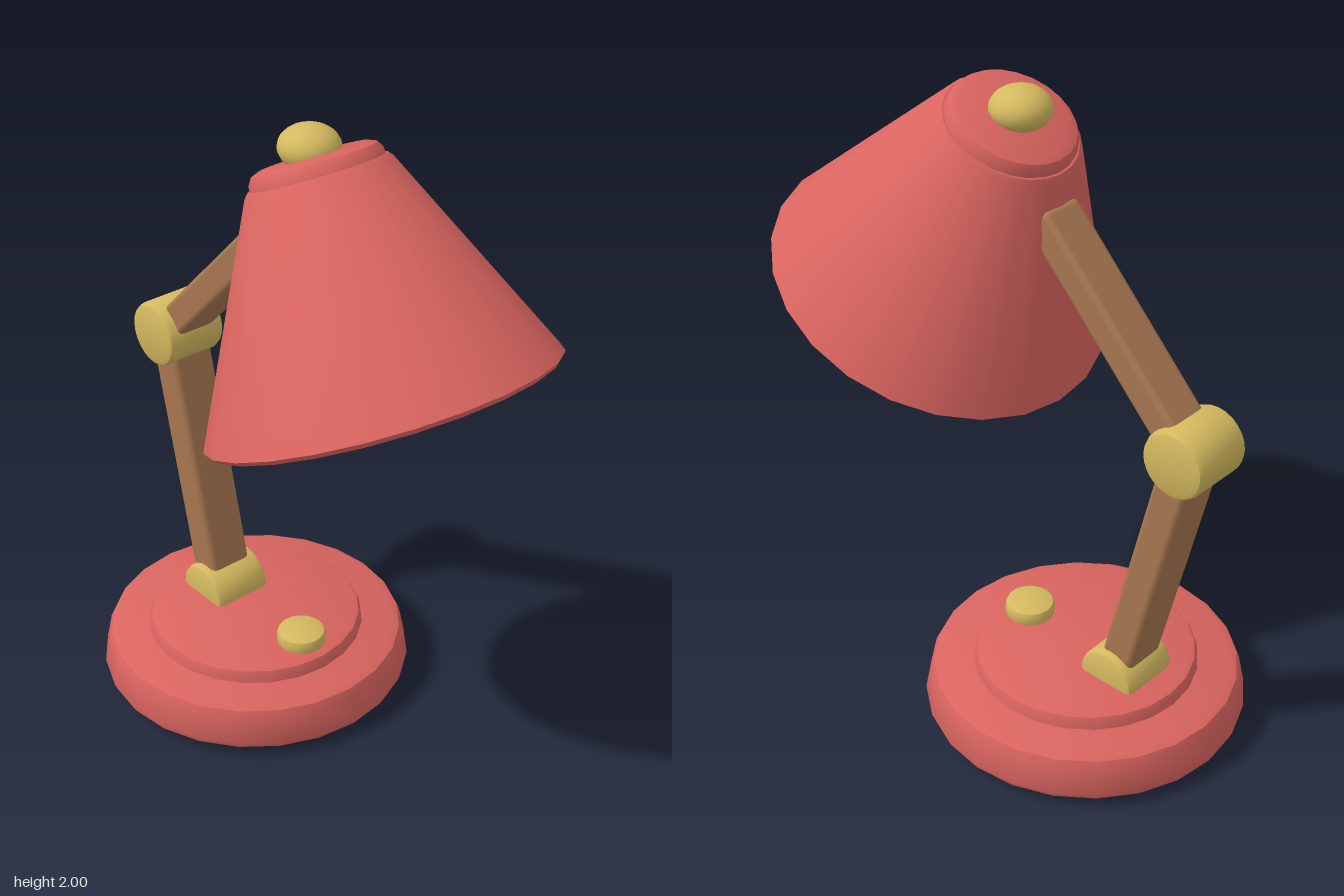
import * as THREE from 'three';
import { toCreasedNormals } from 'three/addons/utils/BufferGeometryUtils.js';
import { RoundedBoxGeometry } from 'three/addons/geometries/RoundedBoxGeometry.js';

const material = (name, color) => {
  const m = new THREE.MeshStandardMaterial({ color });
  m.name = name;
  return m;
};

export function createModel() {
  const red = material('red enamel', 0xd9645f);
  const brass = material('brass', 0xd4b95f);
  const wood = material('wood', 0xa87750);
  const rubber = material('dark rubber', 0x24222a);
  const white = material('white lining', 0xe8e4d8);

  const lamp = new THREE.Group();
  lamp.name = 'deskLamp';

  const add = (parent, name, geometry, mat, x = 0, y = 0, z = 0) => {
    const mesh = new THREE.Mesh(geometry, mat);
    mesh.name = name;
    mesh.position.set(x, y, z);
    parent.add(mesh);
    return mesh;
  };

  // Turned part from [radius, height] pairs
  const turned = (profile, segments = 24) => toCreasedNormals(
    new THREE.LatheGeometry(profile.map(([r, h]) => new THREE.Vector2(r, h)), segments), 0.6);

  // Solid disc with a bevelled edge, centred on its axis
  const bevelledDisc = (r, h, b) => turned([
    [0, -h / 2], [r - b, -h / 2], [r - b * 0.3, -h / 2 + b * 0.3], [r, -h / 2 + b],
    [r, h / 2 - b], [r - b * 0.3, h / 2 - b * 0.3], [r - b, h / 2], [0, h / 2]]);

  // Base
  const base = new THREE.Group();
  base.name = 'base';
  base.position.z = -0.28;
  lamp.add(base);
  add(base, 'footPad', turned([[0, 0], [0.445, 0], [0.445, 0.04], [0, 0.04]]), rubber);
  add(base, 'baseDisc', turned([
    [0, 0.03], [0.475, 0.03], [0.493, 0.038], [0.5, 0.058],
    [0.482, 0.145], [0.473, 0.165], [0.45, 0.176], [0, 0.176]]), red);
  add(base, 'baseStep', turned([
    [0.35, 0.17], [0.346, 0.2], [0.339, 0.214], [0.325, 0.22], [0, 0.22]]), red);
  add(base, 'switchButton', bevelledDisc(0.078, 0.06, 0.015), brass, 0, 0.232, 0.235);

  // Hinges, lying across the lamp
  const baseJoint = new THREE.Vector3(0, 0.222, -0.44);
  const elbow = new THREE.Vector3(0, 1.11, -0.65);
  add(lamp, 'baseHinge', bevelledDisc(0.1, 0.205, 0.02), brass, ...baseJoint).rotation.z = Math.PI / 2;
  add(lamp, 'elbowHinge', bevelledDisc(0.105, 0.21, 0.02), brass, ...elbow).rotation.z = Math.PI / 2;

  // Arms between two points in the middle plane
  const arm = (name, from, to, width, depth) => {
    const dir = to.clone().sub(from);
    const mid = from.clone().add(to).multiplyScalar(0.5);
    const mesh = add(lamp, name, new RoundedBoxGeometry(width, dir.length(), depth, 2, 0.02), wood, ...mid);
    mesh.rotation.x = Math.atan2(dir.z, dir.y);
  };
  arm('lowerArm', baseJoint, elbow, 0.152, 0.112);
  arm('upperArm', elbow, new THREE.Vector3(0, 1.665, -0.115), 0.142, 0.102);

  // Tilted lamp head, its origin at the centre of the shade's rim
  const head = new THREE.Group();
  head.name = 'lampHead';
  head.position.set(0, 1.28, 0.317);
  head.rotation.x = -0.45;
  lamp.add(head);
  add(head, 'shade', turned([
    [0.452, 0.03], [0.462, 0.004], [0.48, -0.004], [0.508, -0.004], [0.522, 0.01],
    [0.212, 0.645], [0.2, 0.658], [0, 0.658]]), red);
  add(head, 'shadeLining', turned([[0, 0.61], [0.175, 0.61], [0.452, 0.03]]), white);
  add(head, 'shadeCap', turned([
    [0.194, 0.65], [0.192, 0.675], [0.18, 0.694], [0.155, 0.704], [0, 0.706]]), red);
  add(head, 'bulb', new THREE.SphereGeometry(0.157, 24, 16), brass, 0, 0.122, 0);
  add(head, 'bulbNeck', new THREE.CylinderGeometry(0.06, 0.06, 0.4, 16), brass, 0, 0.42, 0);

  // Flattened knob on top
  add(lamp, 'topKnob', new THREE.SphereGeometry(0.09, 20, 14), brass, 0, 1.937, -0.004)
    .scale.set(1, 0.7, 1);

  return lamp;
}
